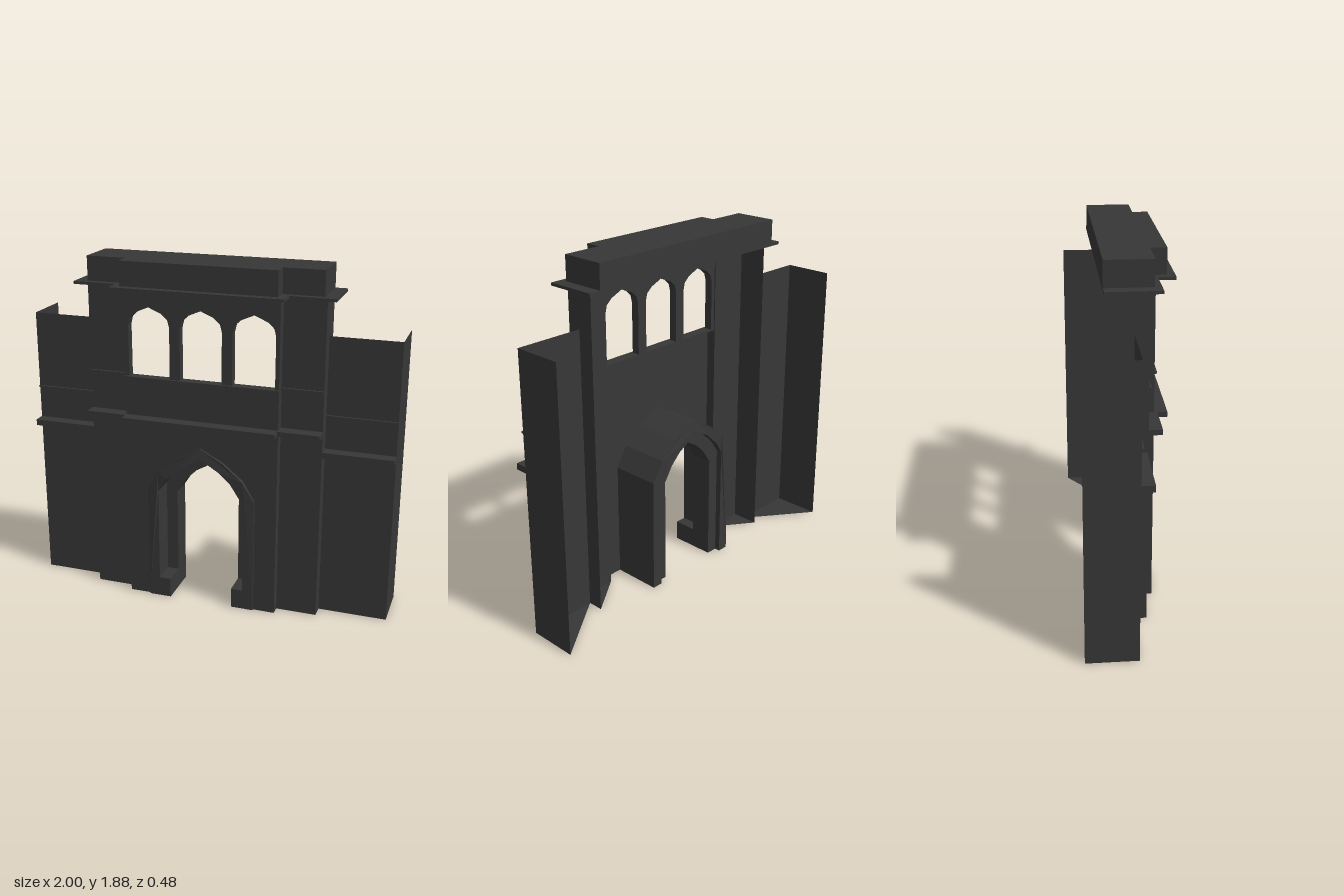
import * as THREE from 'three';

export function createModel() {
  const model = new THREE.Group();
  model.name = 'gateway';
  const stone = new THREE.MeshStandardMaterial({ color: 0x373737, side: THREE.DoubleSide });
  stone.name = 'dark stone';

  const centre = new THREE.Group();
  centre.name = 'centralBlock';
  centre.position.x = -0.007;
  model.add(centre);

  const add = (parent, name, geometry) => {
    const mesh = new THREE.Mesh(geometry, stone);
    mesh.name = name;
    parent.add(mesh);
    return mesh;
  };
  // Box given by its limits
  const box = (parent, name, x0, x1, y0, y1, z0, z1) => {
    const g = new THREE.BoxGeometry(Math.abs(x1 - x0), y1 - y0, z1 - z0);
    g.translate((x0 + x1) / 2, (y0 + y1) / 2, (z0 + z1) / 2);
    return add(parent, name, g);
  };
  // Upright sheet between two plan points
  const sheet = (parent, name, [xa, za], [xb, zb], y0, y1) => {
    const g = new THREE.BufferGeometry();
    g.setAttribute('position', new THREE.Float32BufferAttribute(
      [xa, y0, za, xb, y0, zb, xb, y1, zb, xa, y1, za], 3));
    g.setIndex([0, 1, 2, 0, 2, 3]);
    g.computeVertexNormals();
    return add(parent, name, g);
  };
  // Triangular floor closing the foot of a corner
  const floor = (parent, name, corners) => {
    const s = new THREE.Shape(corners.map(([x, z]) => new THREE.Vector2(x, z)));
    const g = new THREE.ShapeGeometry(s);
    g.rotateX(Math.PI / 2);
    return add(parent, name, g);
  };
  // Pointed arch outline: right half from the springing to the apex, mirrored
  const archPoints = (half, cx = 0, base = 0) => {
    const left = half.slice(0, -1).reverse().map(([x, y]) => [-x, y]);
    const w = half[0][0];
    return [[w, base], ...half, ...left, [-w, base]].map(([x, y]) => new THREE.Vector2(x + cx, y));
  };
  const extrude = (shape, z0, z1) => {
    const g = new THREE.ExtrudeGeometry(shape, { depth: z1 - z0, bevelEnabled: false });
    g.translate(0, 0, z0);
    return g;
  };
  const archRing = (outer, inner) => {
    // Both outlines meet the ground, so the ring is one open-footed band
    return new THREE.Shape([...archPoints(outer), ...archPoints(inner).reverse()]);
  };

  const outerArch = [[0.3, 0.64], [0.235, 0.75], [0.13, 0.835], [0, 0.905]];
  const middleArch = [[0.24, 0.635], [0.19, 0.71], [0.11, 0.785], [0, 0.85]];
  const innerArch = [[0.177, 0.59], [0.125, 0.67], [0.065, 0.728], [0, 0.765]];
  const windowArch = [[0.113, 1.54], [0.103, 1.58], [0.07, 1.61], [0, 1.64]];
  const wallTop = 1.735, bay = 0.418, pier = 0.638;
  const bayZ = 0.148, pierZ = 0.097, wingZ = 0.025;

  // Lower bay wall, cut out for the gate
  const lower = new THREE.Shape([...[[-bay, 0], [-bay, 1.26], [bay, 1.26], [bay, 0]]
    .map(([x, y]) => new THREE.Vector2(x, y)), ...archPoints(outerArch)]);
  add(centre, 'lowerBayWall', new THREE.ShapeGeometry(lower)).position.z = bayZ;

  // Upper bay wall with three pointed windows
  const upper = new THREE.Shape([[-bay, 1.255], [bay, 1.255], [bay, wallTop], [-bay, wallTop]]
    .map(([x, y]) => new THREE.Vector2(x, y)));
  for (const x of [-0.281, 0.002, 0.284]) upper.holes.push(new THREE.Path(archPoints(windowArch, x, 1.265)));
  add(centre, 'windowWall', extrude(upper, bayZ - 0.045, bayZ));

  // Gate surround, swelling slightly around the curve of the arch
  const surround = extrude(archRing(outerArch, middleArch), -0.12, 0.158);
  const p = surround.attributes.position;
  for (let i = 0; i < p.count; i++) {
    const t = (p.getY(i) - 0.62) / 0.29;
    if (t > 0 && t < 1) p.setZ(i, p.getZ(i) + Math.sign(p.getZ(i)) * 0.012 * Math.sin(Math.PI * t));
  }
  surround.computeVertexNormals();
  add(centre, 'gateSurround', surround);
  add(centre, 'innerGateArch', extrude(archRing(middleArch, innerArch), -0.09, 0.03));

  // Bands across the bay
  box(centre, 'bayLedge', -bay, bay, 1.025, 1.052, bayZ, 0.215);
  box(centre, 'baySillBand', -bay, bay, 1.255, 1.266, bayZ, 0.16);

  // Stepped cornice and parapet
  const stepped = (w, wc, back, side, front, y0, y1) => {
    const s = new THREE.Shape([[-w, -back], [w, -back], [w, side], [wc, side],
      [wc, front], [-wc, front], [-w + (w - wc), side], [-w, side]]
      .map(([x, z]) => new THREE.Vector2(x, -z)));
    const g = new THREE.ExtrudeGeometry(s, { depth: y1 - y0, bevelEnabled: false });
    g.rotateX(-Math.PI / 2);
    g.translate(0, y0, 0);
    return g;
  };
  add(centre, 'cornice', stepped(0.692, 0.457, 0.118, 0.152, 0.24, 1.735, 1.75));
  add(centre, 'parapet', stepped(0.628, 0.416, 0.118, 0.118, 0.2, 1.75, 1.88));

  for (const s of [-1, 1]) {
    // Gate footing
    box(centre, 'gateFooting', s * 0.177, s * 0.24, 0, 0.11, 0.03, 0.158);

    // Pier: thin front, outer return and the step up to the bay
    sheet(centre, 'pierFront', [s * bay, pierZ], [s * pier, pierZ], 0, wallTop);
    sheet(centre, 'pierSide', [s * pier, pierZ], [s * pier, -0.06], 0, wallTop);
    sheet(centre, 'bayReturn', [s * bay, pierZ], [s * bay, bayZ], 0, wallTop);
    floor(centre, 'pierFloor', [[s * bay, pierZ], [s * pier, pierZ], [s * pier, -0.06]]);
    box(centre, 'pierLedge', s * bay, s * pier, 1.025, 1.052, pierZ, 0.165);
    box(centre, 'pierBand', s * bay, s * pier, 1.255, 1.268, pierZ, 0.11);

    // Wing: front wall, end wall and floor
    const inner = s * pier - 0.007;
    sheet(model, 'wingFront', [inner, wingZ], [s, wingZ], 0, 1.535);
    sheet(model, 'wingEnd', [s, wingZ], [s, -0.24], 0, 1.535);
    floor(model, 'wingFloor', [[inner, wingZ], [s, wingZ], [s, -0.24]]);
    box(model, 'wingLedge', inner, s, 0.905, 0.938, wingZ, 0.09);
    box(model, 'wingBand', inner, s, 1.112, 1.122, wingZ, 0.037);
  }
  return model;
}
